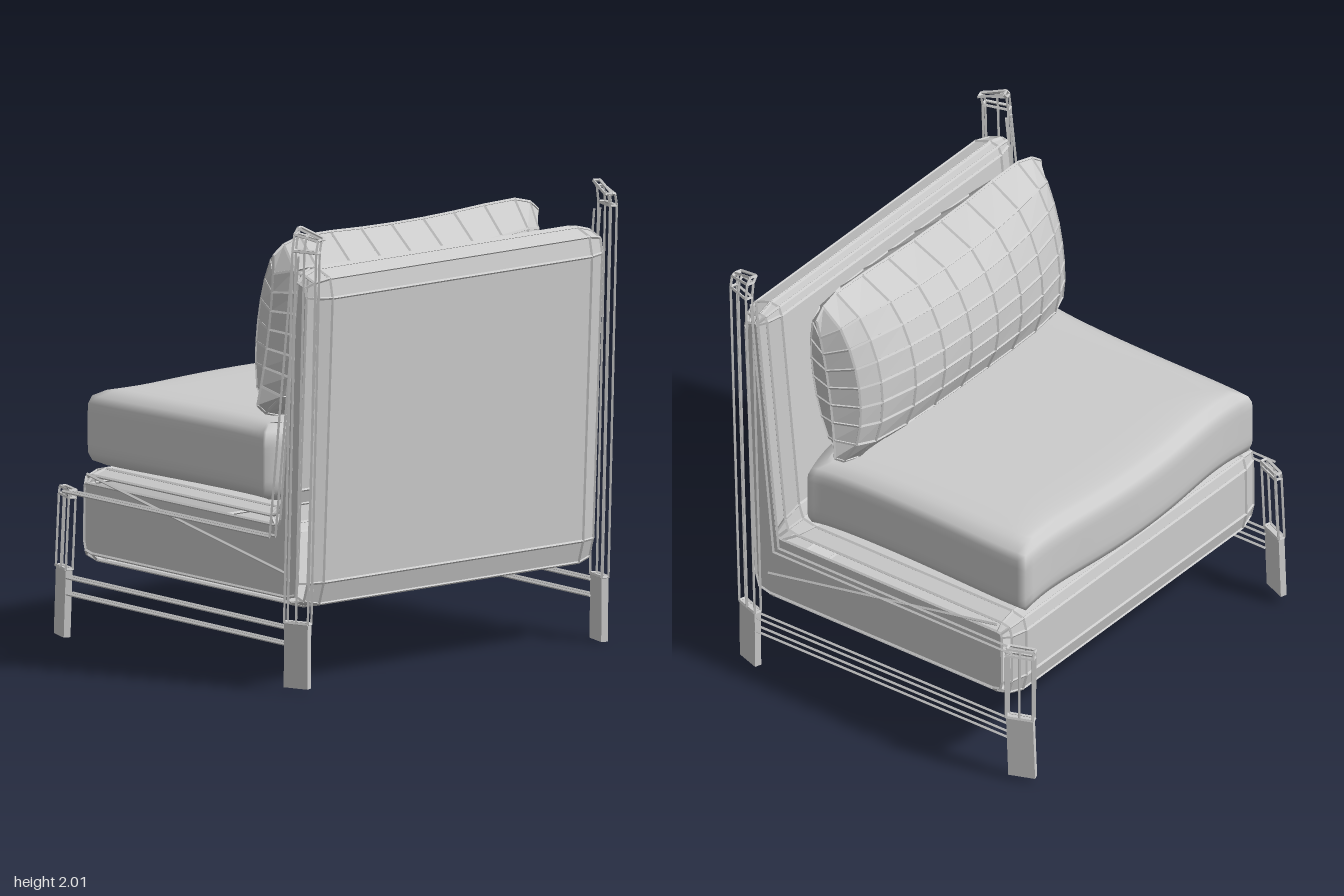
import * as THREE from 'three';
import { mergeGeometries, mergeVertices } from 'three/addons/utils/BufferGeometryUtils.js';
import { ConvexGeometry } from 'three/addons/geometries/ConvexGeometry.js';

const V = (x, y, z) => new THREE.Vector3(x, y, z);
const flat = new THREE.MeshStandardMaterial({ color: 0xcccccc, flatShading: true, side: THREE.DoubleSide });
const smooth = new THREE.MeshStandardMaterial({ color: 0xcccccc });

// Thin square rods along a polyline
function rods(points, closed = false, r = 0.007) {
  const list = [];
  const n = closed ? points.length : points.length - 1;
  for (let i = 0; i < n; i++) {
    const a = points[i], b = points[(i + 1) % points.length];
    const dir = b.clone().sub(a), len = dir.length();
    if (len < 1e-4) continue;
    const g = new THREE.CylinderGeometry(r, r, len, 4);
    g.applyQuaternion(new THREE.Quaternion().setFromUnitVectors(V(0, 1, 0), dir.normalize()));
    const m = a.clone().add(b).multiplyScalar(0.5);
    list.push(g.translate(m.x, m.y, m.z));
  }
  return list;
}

function add(group, name, geometry, material = flat) {
  const mesh = new THREE.Mesh(geometry, material);
  mesh.name = name;
  group.add(mesh);
}

// Flat four-sided sheet
function sheet(a, b, c, d) {
  const g = new THREE.BufferGeometry().setFromPoints([a, b, c, a, c, d]);
  g.computeVertexNormals();
  return g;
}

// L-shaped side profile, inset by d, each corner rounded with three points
const corners = [[-0.69, 0.36], [0.735, 0.335], [0.785, 1.79], [0.63, 1.81], [0.53, 0.74], [-0.69, 0.76]]
  .map(([x, y]) => new THREE.Vector2(x, y));
const radii = [0.1, 0.12, 0.1, 0.05, 0.08, 0.07];

function bodyLoop(d) {
  const n = corners.length;
  const dirs = corners.map((p, i) => corners[(i + 1) % n].clone().sub(p).normalize());
  return corners.flatMap((corner, i) => {
    const before = dirs[(i + n - 1) % n], after = dirs[i];
    const na = new THREE.Vector2(-before.y, before.x), nb = new THREE.Vector2(-after.y, after.x);
    const p = corner.clone().addScaledVector(na.clone().add(nb), d / (1 + na.dot(nb)));
    const r = Math.max(radii[i] - d, 0.005);
    const a = p.clone().addScaledVector(before, -r);
    const b = p.clone().addScaledVector(after, r);
    const mid = a.clone().add(b).multiplyScalar(0.2).addScaledVector(p, 0.6);
    return [a, mid, b];
  });
}

function buildBody() {
  const body = new THREE.Group();
  body.name = 'body';
  const outer = bodyLoop(0), inner = bodyLoop(0.05), half = 0.755;
  const edges = [], bevels = [];

  // Panels and rounded corners across the width, with rods along their edges
  const panels = ['basePanel', 'backPanel', 'backTopPanel', 'backrestPanel', 'seatDeck', 'frontPanel'];
  outer.forEach((a, i) => {
    const b = outer[(i + 1) % outer.length];
    const strip = sheet(V(a.x, a.y, half), V(a.x, a.y, -half), V(b.x, b.y, -half), V(b.x, b.y, half));
    if (i % 3 === 2) add(body, panels[(i - 2) / 3], strip);
    else bevels.push(strip);
    edges.push(...rods([V(a.x, a.y, half), V(a.x, a.y, -half)]));
  });

  // Rounded side rims and side panels
  for (const s of [1, -1]) {
    const loops = [[0, half], [0.02, 0.83], [0.05, 0.86]].map(([d, z]) => bodyLoop(d).map(p => V(p.x, p.y, s * z)));
    loops.forEach(l => edges.push(...rods(l, true)));
    loops[0].forEach((p, i) => {
      const j = (i + 1) % outer.length;
      edges.push(...rods([p, loops[1][i], loops[2][i]]));
      bevels.push(sheet(p, loops[0][j], loops[1][j], loops[1][i]));
    });
    edges.push(...rods([V(-0.62, 0.75, s * 0.865), V(0.62, 0.49, s * 0.865)]));
    const side = new THREE.ShapeGeometry(new THREE.Shape(inner)).translate(0, 0, s * 0.86);
    add(body, s > 0 ? 'sidePanelNear' : 'sidePanelFar', side);
  }
  add(body, 'bodyBevels', mergeGeometries(bevels));
  add(body, 'bodyEdges', mergeGeometries(edges));
  return body;
}

// One open side frame of rods with two solid feet
function buildSideFrame(s) {
  const frame = new THREE.Group();
  frame.name = s > 0 ? 'sideFrameNear' : 'sideFrameFar';
  const edges = [];

  // Angled leg plate: plan corners run outer end, bend, inner bend, inner end;
  // rows hold height, x shift, z shift and drop of the outer end
  const leg = (name, plan, footRows, rows) => {
    const ring = ([y, dx, dz, drop]) =>
      plan.map(([x, z], i) => V(x + dx, y - (i === 0 || i === 3 ? drop : 0), s * (z + dz)));
    add(frame, name + 'Foot', new ConvexGeometry(footRows.flatMap(ring)));
    const rings = rows.map(ring);
    rings.forEach(l => edges.push(...rods(l, true)));
    for (let i = 0; i < 4; i++) edges.push(...rods(rings.map(l => l[i])));
    edges.push(...rods(rings.map(l => l[0].clone().lerp(l[1], 0.5))));
  };
  leg('frontLeg', [[-0.81, 0.865], [-0.70, 0.91], [-0.69, 0.88], [-0.80, 0.838]],
    [[0.035, -0.01, 0, 0], [0.33, 0, 0, 0]],
    [[0.33, 0, 0, 0], [0.64, 0.005, -0.01, 0], [0.67, 0.005, -0.015, 0]]);
  leg('rearLeg', [[0.77, 0.875], [0.66, 0.91], [0.65, 0.88], [0.76, 0.845]],
    [[0.01, 0, 0, 0], [0.29, 0, 0, 0]],
    [[0.29, 0, 0, 0], [1.9, 0.035, 0, 0], [1.97, 0.035, -0.01, 0.02], [1.995, 0.035, -0.03, 0.04]]);

  // Lower rail, and upper rail that turns up along the backrest
  for (const z of [0.87, 0.905]) {
    edges.push(...rods([V(-0.70, 0.295, s * z), V(0.66, 0.265, s * z)]));
    edges.push(...rods([V(-0.70, 0.225, s * z), V(0.66, 0.195, s * z)]));
    edges.push(...rods([V(-0.73, 0.665, s * z), V(0.56, 0.645, s * z), V(0.68, 1.87, s * (z - 0.01))]));
  }
  add(frame, 'frameRods', mergeGeometries(edges));
  return frame;
}

// Soft seat cushion: a rounded slab with slightly drawn-out corners
function buildSeatCushion() {
  let g = new THREE.BoxGeometry(2, 2, 2, 24, 10, 24);
  g.deleteAttribute('normal');
  g.deleteAttribute('uv');
  g = mergeVertices(g);
  const p = g.attributes.position;
  for (let i = 0; i < p.count; i++) {
    const u = p.getX(i), v = p.getY(i), w = p.getZ(i);
    const q = Math.max(Math.abs(u), Math.abs(w));
    const k = Math.pow(Math.pow(q, 8) + Math.pow(Math.abs(v), 8), -0.125);
    const corner = Math.abs(u * w) ** 4;
    const front = u < 0 ? 0.03 * Math.sin(Math.PI * w * w) * -u : 0;
    p.setXYZ(i,
      -0.11 + 0.62 * u * k + front - 0.07 * Math.max(0, u) * corner + 0.02 * Math.max(0, -u) * corner,
      0.935 + 0.178 * v * k,
      w * k * (0.78 + 0.02 * u * u + (u > 0 ? 0.02 * u ** 4 : -0.02 * u ** 4)));
  }
  g.computeVertexNormals();
  return g;
}

// Faceted back pillow with a grid of raised seams
function buildPillow() {
  const pillow = new THREE.Group();
  pillow.name = 'backPillow';
  const stations = [-1, -0.93, -0.81, -0.58, -0.35, -0.12, 0.12, 0.35, 0.58, 0.81, 0.93, 1];
  const nv = 8;
  const point = (u, j, s) => {
    const v = 2 * j / nv - 1;
    const t = 0.255 * Math.pow(1 - u * u, 0.36) * Math.pow(1 - v * v, 0.6);
    const h = 0.385 + 0.04 * u * u - 0.09 * Math.pow(Math.abs(u), 10);
    return V(s * t, v * h, u * (0.75 + 0.02 * v * v));
  };
  const faces = [], seams = [];
  for (const s of [1, -1]) {
    const grid = stations.map(u => Array.from({ length: nv + 1 }, (_, j) => point(u, j, s)));
    for (let i = 0; i < stations.length - 1; i++) {
      for (let j = 0; j < nv; j++) {
        const q = [grid[i][j], grid[i][j + 1], grid[i + 1][j + 1], grid[i + 1][j]];
        faces.push(sheet(...(s > 0 ? q.reverse() : q)));
      }
    }
    grid.forEach(column => seams.push(...rods(column)));
    for (let j = 0; j <= nv; j++) seams.push(...rods(grid.map(column => column[j])));
  }
  add(pillow, 'pillowCover', mergeGeometries(faces));
  add(pillow, 'pillowSeams', mergeGeometries(seams));
  pillow.position.set(0.36, 1.5, -0.025);
  pillow.rotation.z = -0.15;
  return pillow;
}

export function createModel() {
  const chair = new THREE.Group();
  chair.name = 'loungeChair';

  // Frame and body lean very slightly to one side
  const structure = new THREE.Group();
  structure.name = 'structure';
  structure.add(buildBody(), buildSideFrame(1), buildSideFrame(-1));
  structure.rotation.x = -0.01;
  structure.position.z = 0.01;

  chair.add(structure, buildPillow());
  add(chair, 'seatCushion', buildSeatCushion(), smooth);
  return chair;
}
